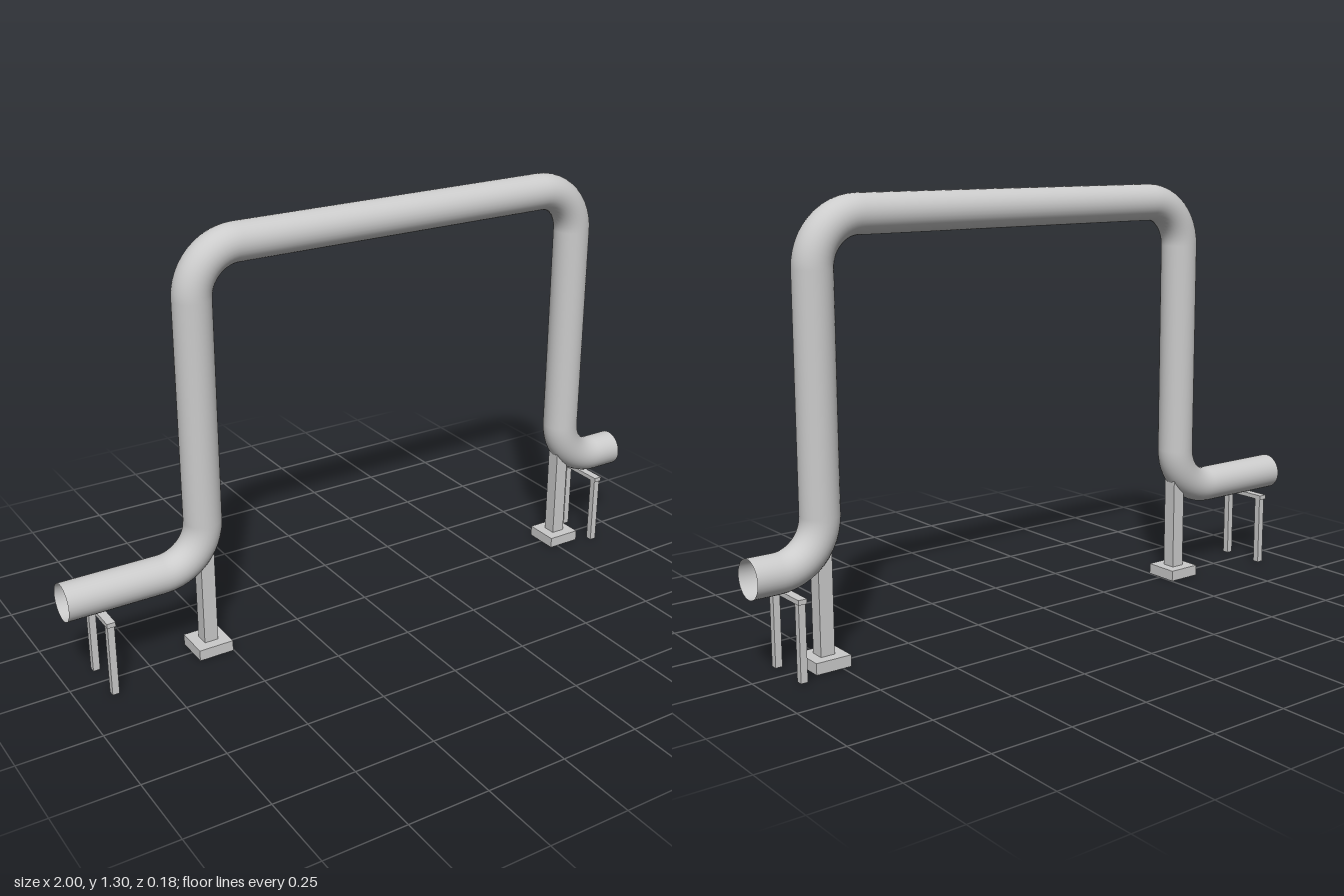
import * as THREE from 'three';

const PIPE_R = 0.057, BEND_R = 0.14, SIDES = 32;
const Y_LOW = 0.293, Y_TOP = 1.246;
const X_LEFT = -0.557, X_RIGHT = 0.778;

export function createModel() {
  const model = new THREE.Group();
  const solid = new THREE.MeshStandardMaterial({ color: 0xcccccc });
  const open = new THREE.MeshStandardMaterial({ color: 0xcccccc, side: THREE.DoubleSide });

  const pipe = new THREE.Group();
  pipe.name = 'pipe';
  model.add(pipe);

  // Open straight run between two points in the xy plane
  function straight(name, x0, y0, x1, y1) {
    const length = Math.hypot(x1 - x0, y1 - y0);
    const mesh = new THREE.Mesh(new THREE.CylinderGeometry(PIPE_R, PIPE_R, length, SIDES, 1, true), open);
    mesh.position.set((x0 + x1) / 2, (y0 + y1) / 2, 0);
    mesh.rotation.z = Math.atan2(y1 - y0, x1 - x0) - Math.PI / 2;
    mesh.name = name;
    pipe.add(mesh);
  }

  // Quarter bend about a centre, starting at the given number of quarter turns
  function elbow(name, x, y, quarter) {
    const mesh = new THREE.Mesh(new THREE.TorusGeometry(BEND_R, PIPE_R, SIDES, 12, Math.PI / 2), open);
    mesh.position.set(x, y, 0);
    mesh.rotation.z = quarter * Math.PI / 2;
    mesh.name = name;
    pipe.add(mesh);
  }

  function box(parent, name, w, h, d, x, y, z) {
    const mesh = new THREE.Mesh(new THREE.BoxGeometry(w, h, d), solid);
    mesh.position.set(x, y, z);
    mesh.name = name;
    parent.add(mesh);
  }

  // Expansion loop: low end, riser, top span, riser, low end
  const low = Y_LOW + BEND_R, high = Y_TOP - BEND_R;
  straight('rightEndRun', -1, Y_LOW, X_LEFT - BEND_R, Y_LOW);
  elbow('rightLowerElbow', X_LEFT - BEND_R, low, 3);
  straight('rightRiser', X_LEFT, low, X_LEFT, high);
  elbow('rightUpperElbow', X_LEFT + BEND_R, high, 1);
  straight('topSpan', X_LEFT + BEND_R, Y_TOP, X_RIGHT - BEND_R, Y_TOP);
  elbow('leftUpperElbow', X_RIGHT - BEND_R, high, 0);
  straight('leftRiser', X_RIGHT, high, X_RIGHT, low);
  elbow('leftLowerElbow', X_RIGHT + BEND_R, low, 2);
  straight('leftEndRun', X_RIGHT + BEND_R, Y_LOW, 1, Y_LOW);

  // Post on a square foot under each riser
  for (const x of [X_LEFT, X_RIGHT]) {
    const support = new THREE.Group();
    support.name = 'postSupport';
    box(support, 'foot', 0.11, 0.034, 0.11, x, 0.017, 0);
    box(support, 'post', 0.044, 0.312, 0.044, x, 0.19, 0);
    model.add(support);
  }

  // Two-legged trestle under each end run
  for (const x of [-0.892, 0.886]) {
    const trestle = new THREE.Group();
    trestle.name = 'trestle';
    box(trestle, 'crossbar', 0.026, 0.014, 0.176, x, 0.23, 0);
    for (const side of [-1, 1]) box(trestle, 'leg', 0.021, 0.223, 0.021, x, 0.1115, side * 0.0725);
    model.add(trestle);
  }

  return model;
}
